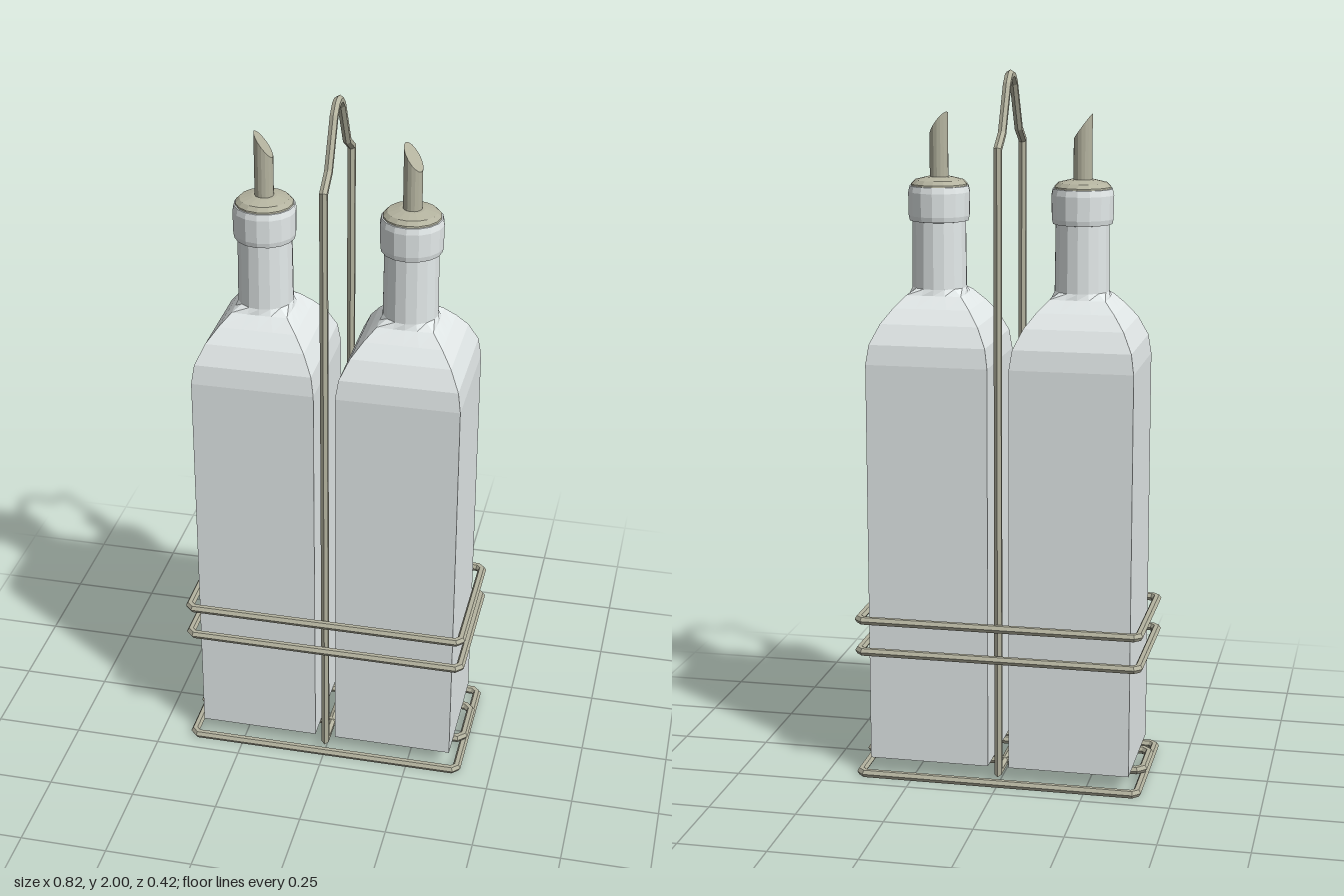
import * as THREE from 'three';

const glass = new THREE.MeshStandardMaterial({ color: 0xe4eaea, flatShading: true });
const metal = new THREE.MeshStandardMaterial({ color: 0xb5b4a0, flatShading: true });
const V = (x, y, z) => new THREE.Vector3(x, y, z);

// Skin a list of equal-length rings, either joined into a loop or capped at both ends
function loft(rings, closed) {
  const n = rings[0].length, pos = [], idx = [];
  rings.forEach((ring) => ring.forEach((p) => pos.push(p.x, p.y, p.z)));
  const spans = closed ? rings.length : rings.length - 1;
  for (let i = 0; i < spans; i++) {
    const a = i * n, b = ((i + 1) % rings.length) * n;
    for (let j = 0; j < n; j++) {
      const k = (j + 1) % n;
      idx.push(a + j, b + j, a + k, a + k, b + j, b + k);
    }
  }
  if (!closed) {
    const last = (rings.length - 1) * n;
    for (let j = 1; j < n - 1; j++) idx.push(0, j, j + 1, last, last + j + 1, last + j);
  }
  const g = new THREE.BufferGeometry();
  g.setAttribute('position', new THREE.Float32BufferAttribute(pos, 3));
  g.setIndex(idx);
  const flat = g.toNonIndexed();
  flat.computeVertexNormals();
  return flat;
}

// Closed six-sided wire through planar points with mitred corners
function wire(name, points, normal, radius = 0.012, sides = 6) {
  const n = points.length;
  const rings = points.map((p, i) => {
    const t0 = p.clone().sub(points[(i + n - 1) % n]).normalize();
    const t1 = points[(i + 1) % n].clone().sub(p).normalize();
    const tangent = t0.clone().add(t1).normalize();
    const side = normal.clone().cross(tangent).divideScalar(tangent.dot(t0));
    return Array.from({ length: sides }, (_, j) => {
      const a = (j / sides) * Math.PI * 2;
      return p.clone().addScaledVector(side, Math.cos(a) * radius)
        .addScaledVector(normal, -Math.sin(a) * radius);
    });
  });
  const m = new THREE.Mesh(loft(rings, true), metal);
  m.name = name;
  return m;
}

// Horizontal wire rectangle with cut corners
function rail(name, hx, hz, y, cut = 0.014) {
  const pts = [
    [hx, hz - cut], [hx - cut, hz], [cut - hx, hz], [-hx, hz - cut],
    [-hx, cut - hz], [cut - hx, -hz], [hx - cut, -hz], [hx, cut - hz],
  ].map(([x, z]) => V(x, y, z));
  return wire(name, pts, V(0, 1, 0));
}

// Ring of 16 points: square when round = 0, circle when round = 1
function section(y, half, round) {
  return Array.from({ length: 16 }, (_, i) => {
    const a = (i / 16) * Math.PI * 2;
    const c = Math.cos(a), s = Math.sin(a);
    const k = half * (round + (1 - round) / Math.max(Math.abs(c), Math.abs(s)));
    return V(c * k, y, s * k);
  });
}

function makeBottle(spoutYaw) {
  const bottle = new THREE.Group();
  const add = (name, geometry, material) => {
    const m = new THREE.Mesh(geometry, material);
    m.name = name;
    bottle.add(m);
  };

  // Square body, curved shoulder and round neck
  const levels = [
    [0.05, 0.172, 0], [1.2, 0.172, 0], [1.255, 0.164, 0],
    [1.31, 0.138, 0], [1.35, 0.108, 0], [1.383, 0.08, 0.1],
    [1.4, 0.077, 1], [1.59, 0.075, 1],
  ];
  add('bottleBody', loft(levels.map((l) => section(...l)), false), glass);

  // Thick lip around the mouth
  const lathe = (pts) => new THREE.LatheGeometry(pts.map(([x, y]) => new THREE.Vector2(x, y)), 16);
  add('bottleLip', lathe([[0.07, 1.584], [0.083, 1.586], [0.086, 1.6], [0.087, 1.665],
    [0.083, 1.682], [0.07, 1.684]]), glass);

  // Stopper and slanted pourer
  add('stopper', lathe([[0.08, 1.678], [0.079, 1.687], [0.068, 1.698], [0.035, 1.706], [0, 1.708]]), metal);
  const spout = new THREE.CylinderGeometry(0.026, 0.026, 0.16, 16);
  const p = spout.attributes.position;
  for (let i = 0; i < p.count; i++) {
    if (p.getY(i) > 0) p.setY(i, p.getY(i) - p.getX(i) * 1.35);
  }
  spout.rotateY(spoutYaw).translate(0, 1.77, 0);
  spout.computeVertexNormals();
  add('pourerSpout', spout, metal);
  return bottle;
}

export function createModel() {
  const model = new THREE.Group();
  model.name = 'bottleStand';

  // Two bottles, one pourer turned a little
  for (const [name, x, yaw] of [['leftBottle', 0.202, -0.4], ['rightBottle', -0.202, 0]]) {
    const bottle = makeBottle(yaw);
    bottle.name = name;
    bottle.position.x = x;
    model.add(bottle);
  }

  // Rack: foot frame, two guard rails and the inner support under the bottles
  model.add(rail('footFrame', 0.4, 0.197, 0.0105));
  model.add(rail('lowerGuardRail', 0.4, 0.197, 0.377));
  model.add(rail('upperGuardRail', 0.4, 0.197, 0.469));
  model.add(rail('bottleSupport', 0.4, 0.08, 0.036, 0.018));

  // Central carrying handle, a closed loop running under the bottles
  const half = [[0.169, 0.035], [0.169, 1.797], [0.112, 1.835], [0.045, 1.962], [0.02, 1.984]];
  const loop = [
    ...half.map(([z, y]) => V(0, y, z)),
    V(0, 1.988, 0),
    ...half.reverse().map(([z, y]) => V(0, y, -z)),
  ];
  model.add(wire('carryHandle', loop, V(1, 0, 0)));
  return model;
}
